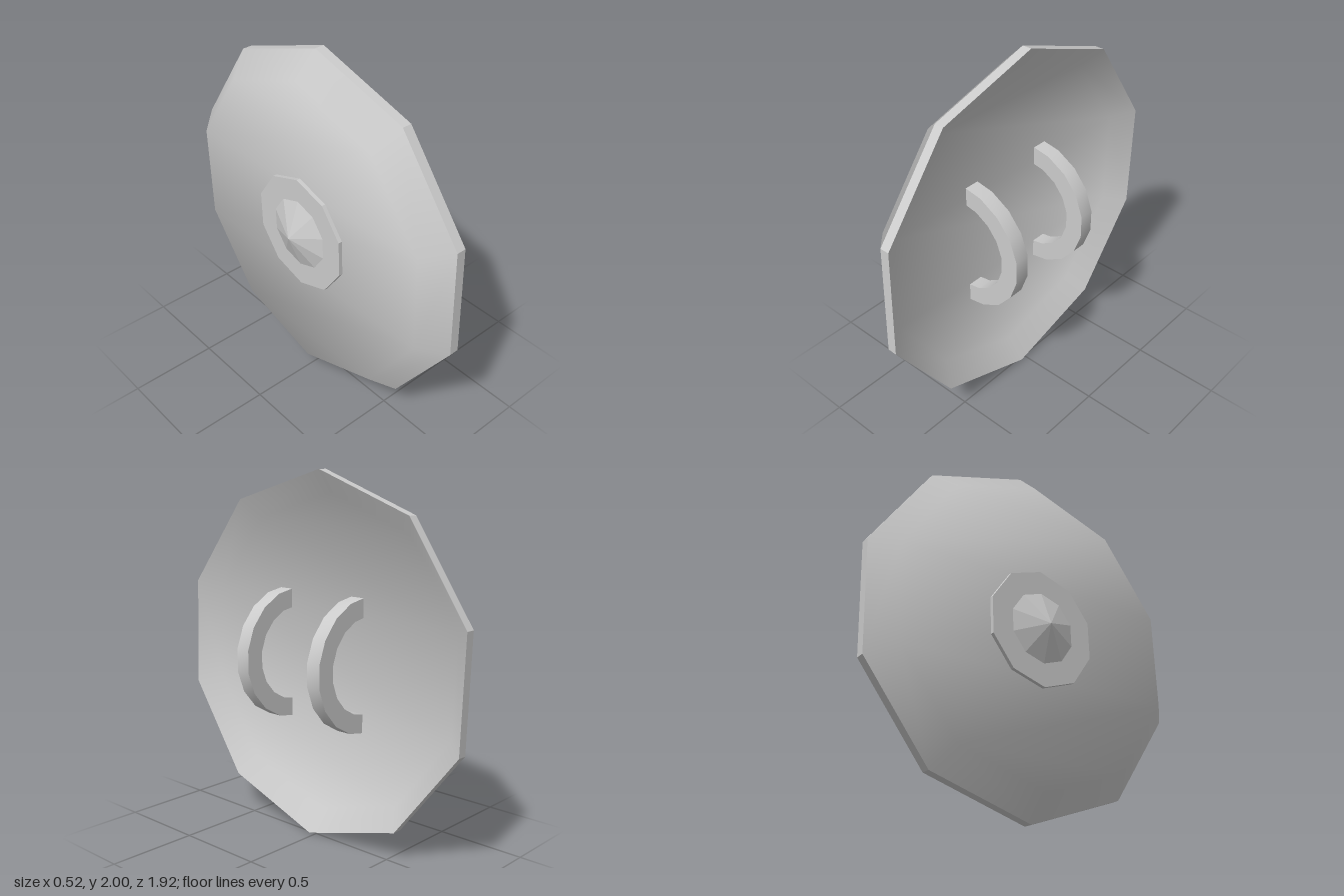
import * as THREE from 'three';
import { toCreasedNormals } from 'three/addons/utils/BufferGeometryUtils.js';

const SIDES = 10;
const rad = THREE.MathUtils.degToRad;
const smooth = new THREE.MeshStandardMaterial({ color: 0xcccccc });
const flat = new THREE.MeshStandardMaterial({ color: 0xcccccc, flatShading: true });

function part(name, geometry, material) {
  const mesh = new THREE.Mesh(geometry, material);
  mesh.name = name;
  return mesh;
}

// Ten-sided turned part; profile pairs are [radius, x], the axis runs along x
function turned(profile) {
  const points = profile.map(([r, x]) => new THREE.Vector2(r, x));
  const geometry = new THREE.LatheGeometry(points, SIDES, rad(-92), Math.PI * 2);
  return geometry.rotateZ(-Math.PI / 2).translate(0, 1, 0);
}

// Sloped band closed by a flat cap, softly shaded as one face; facing is +1 or -1 along x
function shellFace(rimX, capRadius, capX, facing) {
  const positions = [], normals = [], index = [];
  const tilt = rad(30);
  for (const [r, x] of [[1, rimX], [capRadius, capX]]) {
    for (let i = 0; i < SIDES; i++) {
      const t = rad(-2 + i * 36), c = Math.cos(t), s = Math.sin(t);
      positions.push(x, 1 + r * c, r * s);
      normals.push(facing * Math.cos(tilt), -facing * Math.sin(tilt) * c, -facing * Math.sin(tilt) * s);
    }
  }
  const face = (a, b, c) => index.push(a, ...(facing > 0 ? [b, c] : [c, b]));
  for (let i = 0; i < SIDES; i++) {
    const j = (i + 1) % SIDES;
    face(i, j, SIDES + j);
    face(i, SIDES + j, SIDES + i);
  }
  for (let i = 0; i < 4; i++) {
    face(10 + i, 11 + i, 19 - i);
    face(11 + i, 18 - i, 19 - i);
  }
  const geometry = new THREE.BufferGeometry();
  geometry.setAttribute('position', new THREE.Float32BufferAttribute(positions, 3));
  geometry.setAttribute('normal', new THREE.Float32BufferAttribute(normals, 3));
  geometry.setIndex(index);
  return geometry;
}

// Half-ring grip with nine straight segments, its ends sunk into the dish floor
function gripGeometry() {
  const outer = [], inner = [];
  for (let i = 0; i <= 9; i++) {
    const a = rad(-90 + i * 20);
    outer.push(new THREE.Vector2(0.367 * Math.cos(a), 0.367 * Math.sin(a)));
    inner.unshift(new THREE.Vector2(0.263 * Math.cos(a), 0.263 * Math.sin(a)));
  }
  const shape = new THREE.Shape([...outer, ...inner]);
  const geometry = new THREE.ExtrudeGeometry(shape, { depth: 0.084, bevelEnabled: false });
  geometry.translate(0, 0, -0.042);
  return toCreasedNormals(geometry, rad(30));
}

export function createModel() {
  const model = new THREE.Group();
  model.name = 'shield';

  // Hollow dish: bevelled outer face, rim band and recessed inner face
  model.add(
    part('outerShell', shellFace(-0.035, 0.87, -0.165, -1), smooth),
    part('rim', turned([[1, -0.035], [1, 0.018]]), flat),
    part('innerShell', shellFace(0.018, 0.88, -0.08, 1), smooth),
  );

  // Boss: thin plate with a faceted point
  model.add(
    part('bossPlate', turned([[0, -0.187], [0.33, -0.187], [0.33, -0.16]]), flat),
    part('bossPoint', turned([[0, -0.26], [0.205, -0.185]]), flat),
  );

  // Two arm grips
  const geometry = gripGeometry();
  for (const z of [0.299, -0.217]) {
    const grip = part(z > 0 ? 'leftGrip' : 'rightGrip', geometry, smooth);
    grip.position.set(-0.105, 0.985, z);
    model.add(grip);
  }
  return model;
}
